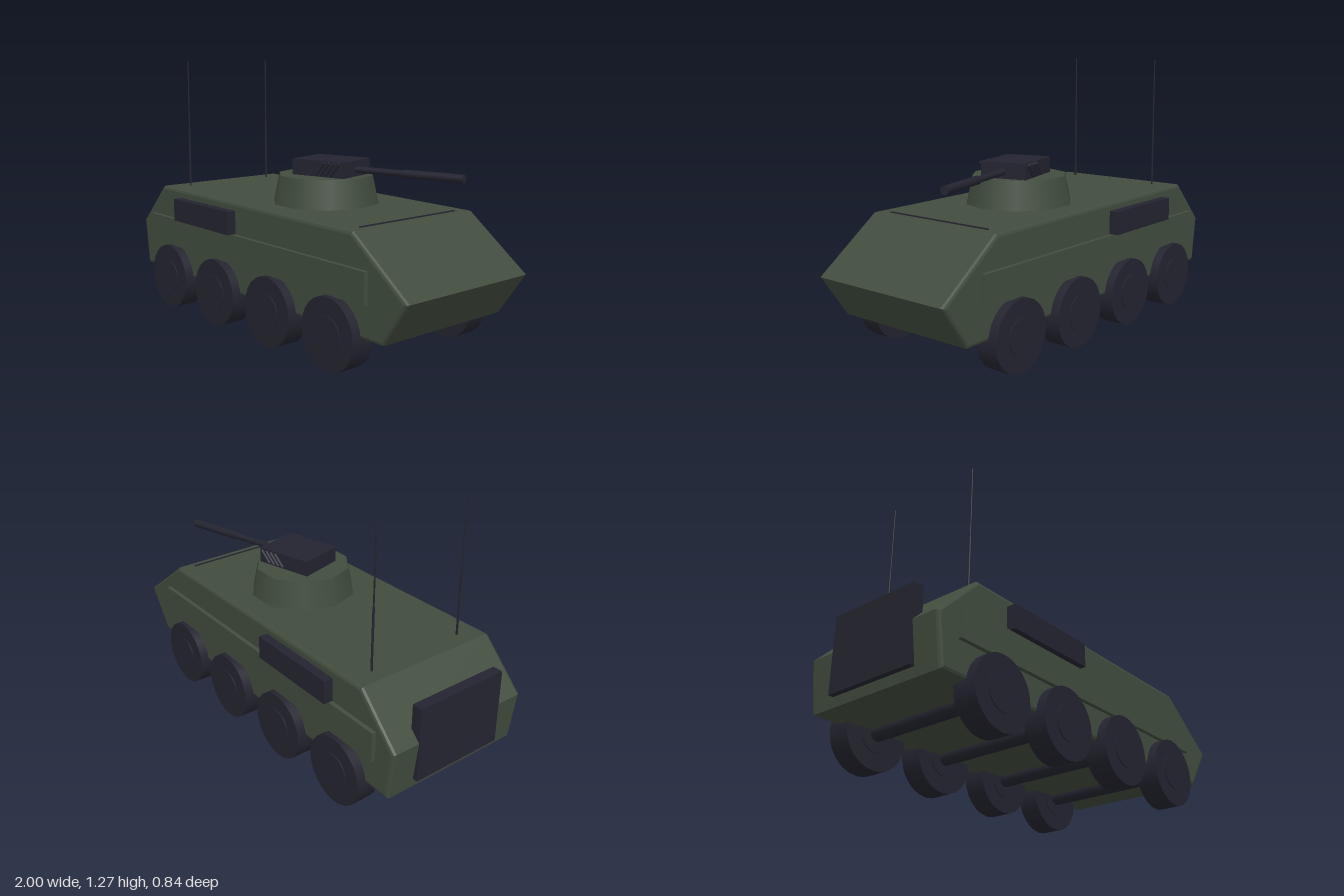
import * as THREE from 'three';

const green = new THREE.MeshStandardMaterial({ color: 0x414c3e });
green.name = 'armour green';
const dark = new THREE.MeshStandardMaterial({ color: 0x242430 });
dark.name = 'dark gunmetal';

function add(parent, name, geometry, material, x = 0, y = 0, z = 0) {
  const mesh = new THREE.Mesh(geometry, material);
  mesh.name = name;
  mesh.position.set(x, y, z);
  parent.add(mesh);
  return mesh;
}

// Cylinder lying along z
const axial = (radius, length, sides) =>
  new THREE.CylinderGeometry(radius, radius, length, sides).rotateX(Math.PI / 2);

// Cylinder lying along x
const lengthwise = (radius, length, sides) =>
  new THREE.CylinderGeometry(radius, radius, length, sides).rotateZ(-Math.PI / 2);

function createHull() {
  const profile = new THREE.Shape([
    [-0.97, 0.175], [0.86, 0.175], [0.998, 0.373],
    [0.68, 0.61], [-0.79, 0.622], [-1, 0.41],
  ].map(([x, y]) => new THREE.Vector2(x, y)));
  const bevel = 0.015;
  return new THREE.ExtrudeGeometry(profile, {
    depth: 0.744 - 2 * bevel, bevelThickness: bevel, bevelSize: bevel,
    bevelOffset: -bevel, bevelSegments: 2,
  }).translate(0, 0, -0.372 + bevel);
}

function createWheel() {
  const wheel = new THREE.Group();
  wheel.name = 'wheel';
  add(wheel, 'tyre', axial(0.163, 0.11, 24), dark);
  add(wheel, 'hub', axial(0.085, 0.12, 20), dark);
  return wheel;
}

function createTurret() {
  const turret = new THREE.Group();
  turret.name = 'turret';
  turret.position.set(0.092, 0, 0);
  // ten-sided ring, one corner pointing forward
  add(turret, 'turretBase',
    new THREE.CylinderGeometry(0.228, 0.257, 0.135, 10).rotateY(Math.PI / 2),
    green, 0, 0.6825, 0);

  // gun mount, traversed a little to the right
  const mount = new THREE.Group();
  mount.name = 'gunMount';
  mount.position.set(0.03, 0, -0.007);
  mount.rotation.y = THREE.MathUtils.degToRad(15);
  turret.add(mount);
  add(mount, 'gunHousing', new THREE.BoxGeometry(0.288, 0.08, 0.226), dark, 0, 0.785, 0);
  add(mount, 'barrel', lengthwise(0.015, 0.5, 12), dark, 0.37, 0.782, 0);
  add(mount, 'barrelSleeve', lengthwise(0.0195, 0.29, 12), dark, 0.545, 0.782, 0);

  // tilted smoke launchers on both sides of the housing
  for (const side of [-1, 1]) {
    for (let i = 0; i < 4; i++) {
      const tube = add(mount, 'smokeLauncher', new THREE.CylinderGeometry(0.009, 0.009, 0.075, 8),
        dark, 0.02 + i * 0.027, 0.79, side * 0.122);
      tube.rotation.z = -0.7;
    }
  }
  return turret;
}

export function createModel() {
  const model = new THREE.Group();
  model.name = 'armouredCarrier';

  add(model, 'hull', createHull(), green);
  add(model, 'sidePanels', new THREE.BoxGeometry(1.67, 0.142, 0.784), green, -0.055, 0.395, 0);
  add(model, 'rearPlate', new THREE.BoxGeometry(0.05, 0.355, 0.47), dark, -0.976, 0.398, 0);
  add(model, 'frontVane', new THREE.BoxGeometry(0.008, 0.012, 0.584), dark, 0.645, 0.609, 0);

  // stowage boxes and whip antennas on both sides
  for (const side of [-1, 1]) {
    add(model, 'stowageBox', new THREE.BoxGeometry(0.48, 0.112, 0.1), dark, -0.371, 0.524, side * 0.367);
    add(model, 'antennaBase', new THREE.CylinderGeometry(0.005, 0.005, 0.32, 8), dark, -0.715, 0.76, side * 0.25);
    add(model, 'antennaWhip', new THREE.CylinderGeometry(0.0035, 0.0035, 0.365, 8), dark, -0.715, 1.0925, side * 0.25);
  }

  // four axles with a wheel at each end
  for (const x of [-0.676, -0.26, 0.165, 0.58]) {
    add(model, 'axle', axial(0.037, 0.64, 12), dark, x, 0.167, 0);
    for (const side of [-1, 1]) {
      const wheel = createWheel();
      wheel.position.set(x, 0.163, side * 0.361);
      model.add(wheel);
    }
  }

  model.add(createTurret());
  return model;
}
